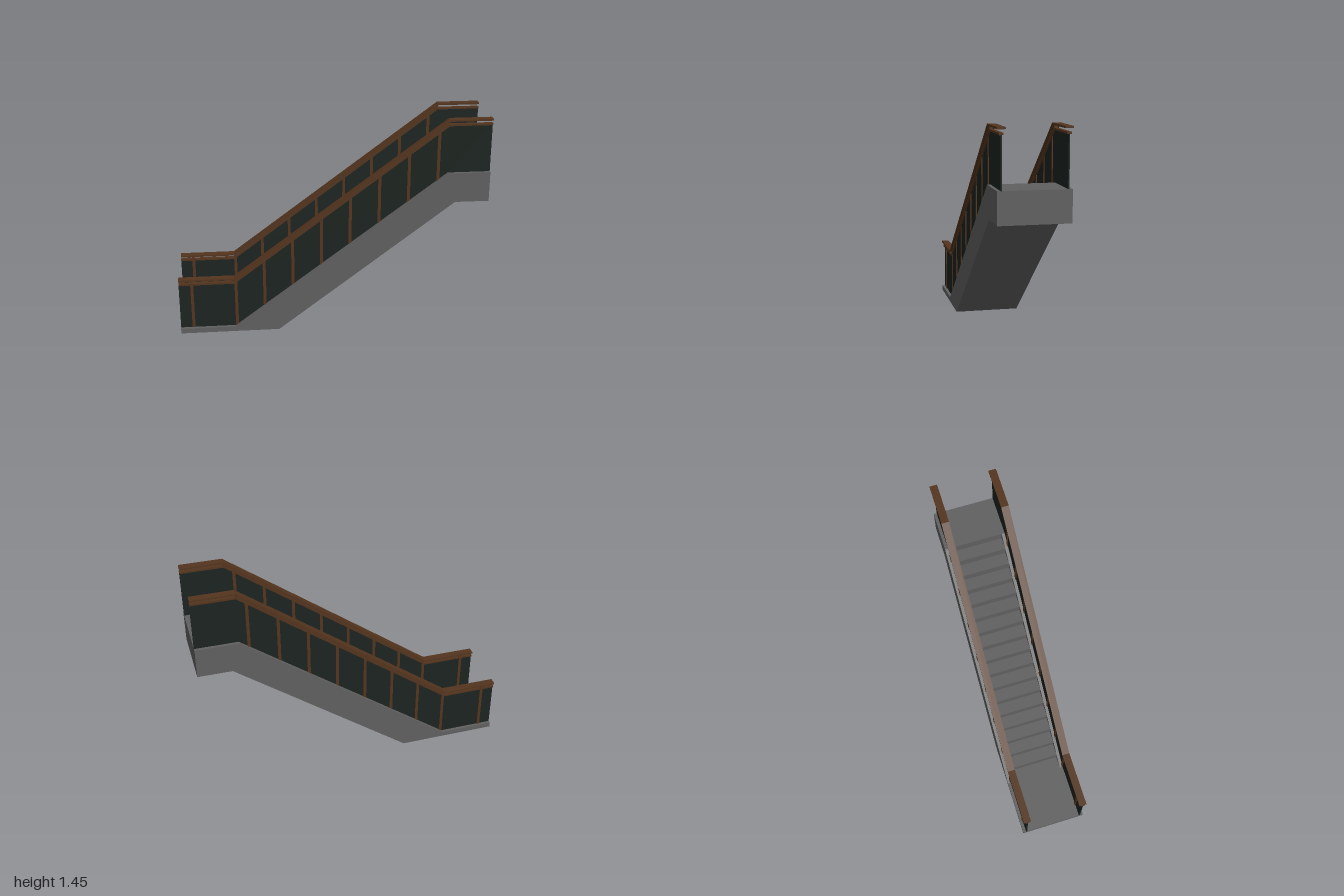
import * as THREE from 'three';

const HALF = 1.03;            // half length along the run
const LOW = [-0.66, 0.035];   // where the incline starts
const HIGH = [0.75, 1.085];   // where the incline ends
const SIDE = 0.197;           // balustrade centre line
const STEPS = 17;

const grey = new THREE.MeshStandardMaterial({ color: 0x606060 });
const brown = new THREE.MeshStandardMaterial({ color: 0x54351e });
const dark = new THREE.MeshStandardMaterial({ color: 0x1c2420 });

const lerp = THREE.MathUtils.lerp;
const run = [[-HALF, LOW[1]], LOW, HIGH, [HALF, HIGH[1]]];

// Height of the walking line at a position along the run
function floorAt(u) {
  const t = THREE.MathUtils.clamp((u - LOW[0]) / (HIGH[0] - LOW[0]), 0, 1);
  return lerp(LOW[1], HIGH[1], t);
}

// Side profile extruded across the width, centred on z
function slab(name, points, width, z, material) {
  const shape = new THREE.Shape(points.map(([x, y]) => new THREE.Vector2(x, y)));
  const geometry = new THREE.ExtrudeGeometry(shape, { depth: width, bevelEnabled: false });
  geometry.translate(0, 0, z - width / 2);
  const mesh = new THREE.Mesh(geometry, material);
  mesh.name = name;
  return mesh;
}

// Strip that follows a line between two heights above it
function band(name, line, low, high, width, z, material) {
  const bottom = line.map(([x, y]) => [x, y + low]);
  const top = line.map(([x, y]) => [x, y + high]).reverse();
  return slab(name, [...bottom, ...top], width, z, material);
}

// One balustrade: panel, rails and posts
function balustrade(name, z) {
  const group = new THREE.Group();
  group.name = name;
  group.add(
    band('panel', run, 0, 0.32, 0.008, z, dark),
    band('lowerRail', run, 0.315, 0.328, 0.026, z, brown),
    band('handrail', run, 0.348, 0.36, 0.05, z, brown),
    band('handrailSupport', [LOW, HIGH], 0.325, 0.35, 0.022, z, brown),
  );
  const posts = [-0.943];
  for (let i = 0; i < 8; i++) posts.push(-0.65 + i * 0.191);
  for (const u of posts) {
    const line = [u - 0.01, u + 0.01].map((x) => [x, floorAt(x)]);
    group.add(band('post', line, 0, 0.35, 0.018, z, brown));
  }
  return group;
}

export function createModel() {
  const model = new THREE.Group();
  model.name = 'escalator';

  const underside = [[HALF, 0.885], [0.805, 0.885], [-0.368, 0], [-HALF, 0]];

  // Closed side skirts
  for (const s of [1, -1]) {
    model.add(slab('sideSkirt', [...run, ...underside], 0.05, s * SIDE, grey));
    model.add(balustrade(s > 0 ? 'frontBalustrade' : 'backBalustrade', s * SIDE));
  }

  // Stepped centre with both landings
  const stairs = [run[0], LOW];
  for (let i = 1; i <= STEPS; i++) {
    const u = lerp(LOW[0], HIGH[0], i / STEPS);
    stairs.push([u, floorAt(lerp(LOW[0], HIGH[0], (i - 1) / STEPS))], [u, floorAt(u)]);
  }
  stairs.push(run[3]);
  model.add(slab('stepsAndLandings', [...stairs, ...underside], 2 * SIDE - 0.05, 0, grey));

  // The whole run stands diagonally in plan
  model.rotation.y = 0.546;
  return model;
}
